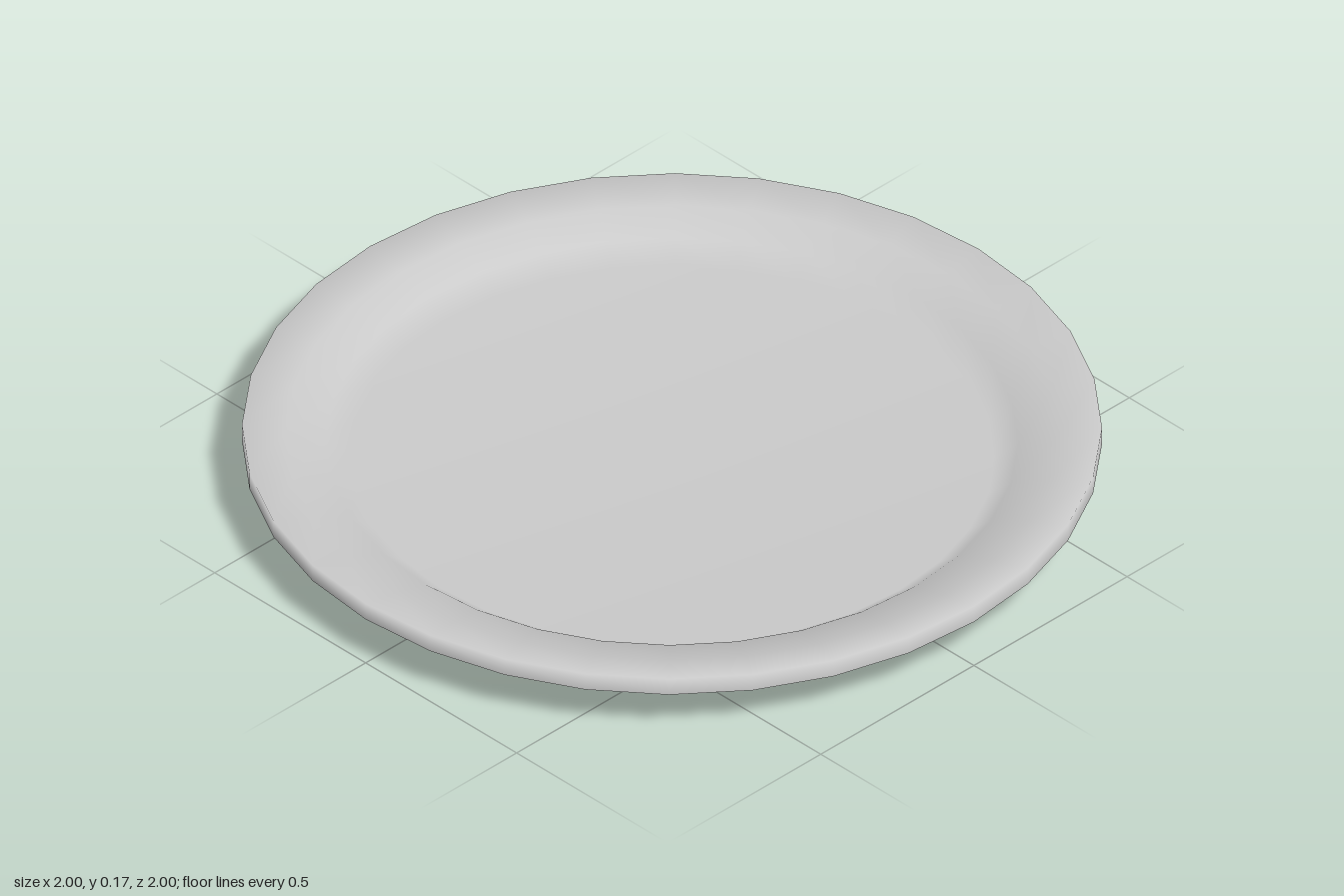
import * as THREE from 'three';

const SIDES = 32;

export function createModel() {
  const plate = new THREE.Group();
  plate.name = 'plate';
  const material = new THREE.MeshStandardMaterial({ color: 0xcccccc });

  // Turns a profile of [radius, height] pairs, smooth along its length
  const turn = (name, profile) => {
    const points = profile.map(([r, y]) => new THREE.Vector2(r, y));
    const mesh = new THREE.Mesh(new THREE.LatheGeometry(points, SIDES), material);
    mesh.name = name;
    plate.add(mesh);
  };

  // Flat base and the flared foot ring
  turn('footBase', [[0, 0], [0.72, 0]]);
  turn('footRing', [[0.72, 0], [0.735, 0.018], [0.76, 0.038]]);

  // Sloping underside with a narrow step near the rim
  turn('underside', [[0.76, 0.038], [0.79, 0.043], [0.86, 0.067], [0.92, 0.09]]);
  turn('undersideStep', [[0.92, 0.09], [0.94, 0.094]]);
  turn('rimUnderside', [[0.94, 0.094], [1, 0.125]]);

  // Outer edge, rim, inner slope and well as one smooth surface
  turn('rimAndWell', [
    [1, 0.125], [1, 0.17], [0.9, 0.15], [0.805, 0.126], [0.75, 0.085], [0, 0.085],
  ]);

  return plate;
}
